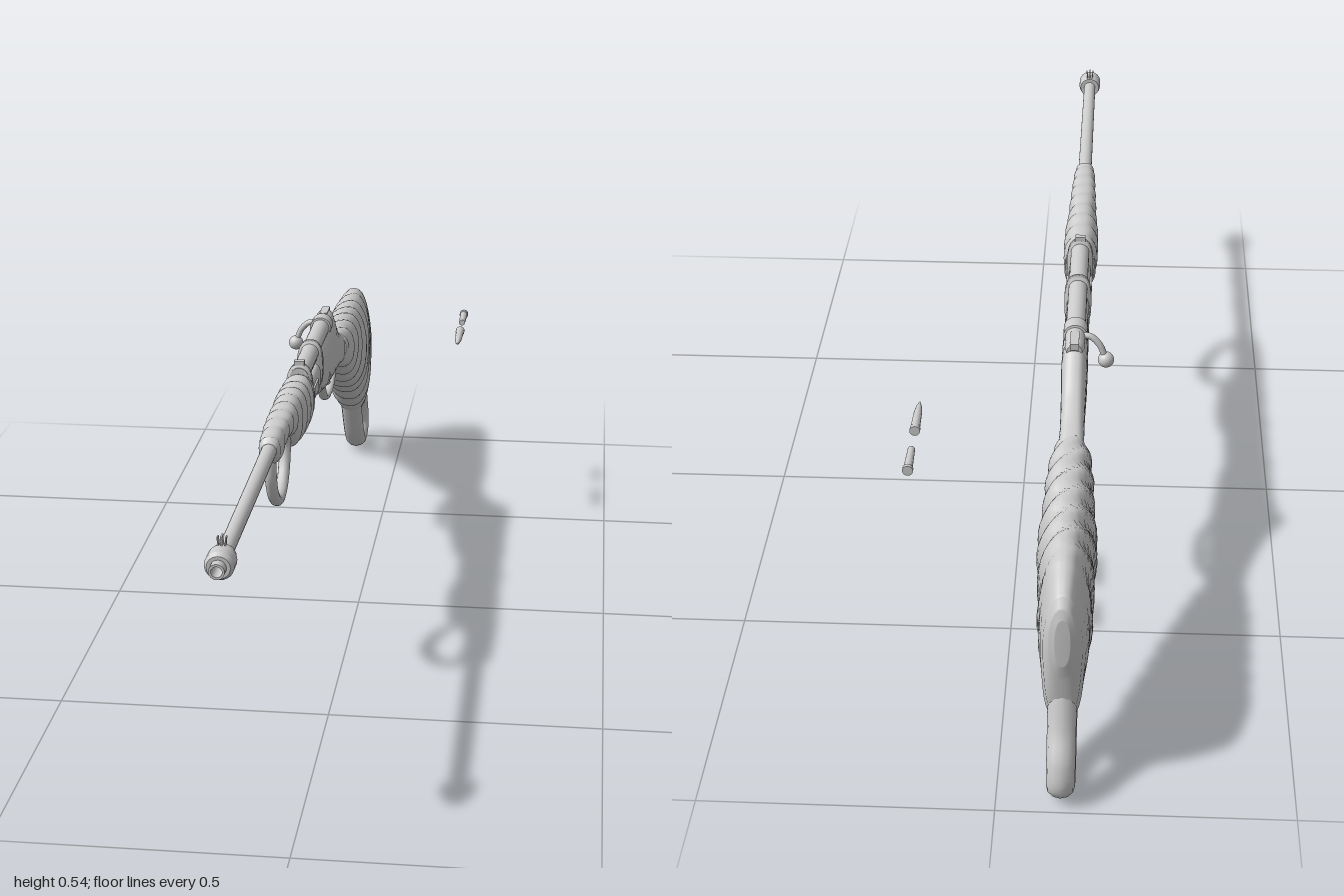
import * as THREE from 'three';

const material = new THREE.MeshStandardMaterial({ color: 0xcccccc, side: THREE.DoubleSide });
const V = (x, y, z) => new THREE.Vector3(x, y, z);

function add(group, name, geometry, x = 0, y = 0, z = 0) {
  const mesh = new THREE.Mesh(geometry, material);
  mesh.name = name;
  mesh.position.set(x, y, z);
  group.add(mesh);
  return mesh;
}

// Lathe along z; profile is [z, radius] from back to front
function turned(group, name, profile, x, y, sides = 24) {
  const pts = [];
  // doubled points keep the edges crisp
  profile.forEach(([z, r], i) => {
    pts.push(new THREE.Vector2(r, z));
    if (i > 0 && i < profile.length - 1) pts.push(new THREE.Vector2(r, z + 0.0002));
  });
  const g = new THREE.LatheGeometry(pts, sides);
  g.rotateX(Math.PI / 2);
  return add(group, name, g, x, y, 0);
}

function tube(group, name, points, radius, closed = false) {
  const curve = new THREE.CatmullRomCurve3(points.map(p => V(...p)), closed);
  return add(group, name, new THREE.TubeGeometry(curve, 48, radius, 12, closed));
}

// Loft of rounded sections [z, top, bottom, halfWidth], front to back.
// power < 1 squares the section; bulge(z, y, angle) scales it.
function loft(group, name, sections, power = 0.8, steps = 4, bulge = () => 1) {
  const rows = [], n = 32;
  sections.forEach((s, i) => {
    const next = sections[i + 1];
    if (!next) return rows.push(s);
    for (let k = 0; k < steps; k++) rows.push(s.map((v, c) => v + (next[c] - v) * k / steps));
  });
  // pinch both ends shut
  const pinch = r => { const m = (r[1] + r[2]) / 2; return [r[0], m, m, 0]; };
  rows.unshift(pinch(rows[0]));
  rows.push(pinch(rows[rows.length - 1]));
  const pos = [], idx = [];
  const soft = v => Math.sign(v) * Math.pow(Math.abs(v), power);
  rows.forEach(([z, top, bottom, hw], i) => {
    for (let j = 0; j < n; j++) {
      const a = j / n * Math.PI * 2, mid = (top + bottom) / 2;
      const dy = soft(Math.sin(a)) * (top - bottom) / 2;
      const k = bulge(z, mid + dy, a);
      // the bulge adds width fully and height by a fixed small amount
      pos.push(soft(Math.cos(a)) * hw * k, mid + dy + Math.sin(a) * (k - 1) * Math.min(hw, (top - bottom) / 2), z);
      if (i < rows.length - 1) {
        const b = i * n + j, c = i * n + (j + 1) % n;
        idx.push(b, b + n, c + n, b, c + n, c);
      }
    }
  });
  const g = new THREE.BufferGeometry();
  g.setAttribute('position', new THREE.Float32BufferAttribute(pos, 3));
  g.setIndex(idx);
  g.computeVertexNormals();
  return add(group, name, g);
}

export function createModel() {
  const model = new THREE.Group();
  model.name = 'wrappedRifle';
  const rifle = new THREE.Group();
  rifle.name = 'rifle';
  rifle.position.x = -0.108;
  model.add(rifle);

  // Barrel with muzzle collar and bore
  turned(rifle, 'barrel', [[-0.1, 0], [-0.1, 0.015], [0.95, 0.013], [1, 0.013], [1, 0.009], [0.96, 0.008], [0.96, 0]], 0, 0.5);
  turned(rifle, 'muzzleCollar', [[0.935, 0.012], [0.935, 0.021], [0.948, 0.024], [0.975, 0.024], [0.983, 0.019], [0.983, 0.012]], 0, 0.5);

  // Front sight blade between two small ears
  add(rifle, 'frontSight', new THREE.BoxGeometry(0.003, 0.022, 0.014), 0, 0.528, 0.945);
  for (const s of [-1, 1]) {
    add(rifle, 'frontSightEar', new THREE.BoxGeometry(0.002, 0.018, 0.01), s * 0.006, 0.528, 0.945).rotation.z = -s * 0.1;
  }

  // Cloth-wrapped fore stock
  loft(rifle, 'foreStockWrap', [
    [0.465, 0.513, 0.487, 0.013], [0.455, 0.523, 0.472, 0.02], [0.42, 0.525, 0.472, 0.021],
    [0.38, 0.526, 0.485, 0.022], [0.33, 0.526, 0.48, 0.024], [0.28, 0.526, 0.462, 0.026],
    [0.25, 0.525, 0.43, 0.028], [0.2, 0.525, 0.425, 0.031], [0.14, 0.52, 0.42, 0.032],
    [0.08, 0.518, 0.422, 0.03], [0.065, 0.515, 0.43, 0.026]
  ], 0.85, 8, (z, y) => 0.94 + 0.15 * Math.abs(Math.sin((z + 0.3 * y) * 68)));

  // Hand loop hanging under the nose of the fore stock
  tube(rifle, 'handLoop', [
    [0, 0.492, 0.44], [0, 0.45, 0.448], [0, 0.4, 0.42], [0, 0.369, 0.365], [0, 0.374, 0.32],
    [0, 0.405, 0.284], [0, 0.45, 0.27], [0, 0.485, 0.3], [0, 0.498, 0.37]
  ], 0.011, true);

  // Bare lower stock running back into the receiver and wrist
  loft(rifle, 'lowerStock', [
    [0.08, 0.488, 0.436, 0.022], [-0.08, 0.488, 0.432, 0.022],
    [-0.1, 0.494, 0.413, 0.023], [-0.25, 0.497, 0.382, 0.023]
  ], 0.65);
  loft(rifle, 'receiver', [
    [-0.085, 0.5, 0.416, 0.021], [-0.2, 0.506, 0.392, 0.023], [-0.27, 0.522, 0.38, 0.024],
    [-0.34, 0.516, 0.372, 0.024], [-0.37, 0.492, 0.37, 0.023], [-0.41, 0.462, 0.367, 0.022],
    [-0.46, 0.438, 0.362, 0.022], [-0.52, 0.42, 0.35, 0.024]
  ], 0.65);

  // Upper barrel cover, bolt and binding bands
  turned(rifle, 'barrelCover', [[-0.1, 0], [-0.1, 0.018], [0.075, 0.018], [0.075, 0]], 0, 0.51);
  turned(rifle, 'bolt', [[-0.345, 0], [-0.345, 0.014], [-0.33, 0.018], [-0.1, 0.018], [-0.1, 0]], 0, 0.51);
  turned(rifle, 'boltRearRing', [[-0.29, 0], [-0.285, 0.022], [-0.252, 0.022], [-0.25, 0]], 0, 0.51);
  for (const z of [0.065, -0.09]) {
    loft(rifle, 'bindingBand', [[z + 0.008, 0.533, 0.428, 0.026], [z - 0.008, 0.533, 0.425, 0.026]], 0.75, 1);
  }
  add(rifle, 'lowerClip', new THREE.BoxGeometry(0.05, 0.022, 0.06), 0, 0.462, 0);
  add(rifle, 'rearSight', new THREE.BoxGeometry(0.02, 0.014, 0.012), 0, 0.534, 0.066);
  add(rifle, 'cockingPiece', new THREE.BoxGeometry(0.016, 0.012, 0.05), 0, 0.522, -0.325);

  // Bolt handle on the right side
  tube(rifle, 'boltHandle', [[-0.01, 0.512, -0.285], [-0.028, 0.511, -0.287], [-0.045, 0.495, -0.289], [-0.056, 0.468, -0.29]], 0.006);
  add(rifle, 'boltKnob', new THREE.SphereGeometry(0.015, 20, 14), -0.057, 0.465, -0.29);

  // Trigger and its guard
  tube(rifle, 'triggerGuard', [
    [0, 0.392, -0.23], [0, 0.372, -0.265], [0, 0.343, -0.3], [0, 0.331, -0.355],
    [0, 0.336, -0.405], [0, 0.355, -0.44], [0, 0.372, -0.465]
  ], 0.007).scale.x = 1.35;
  tube(rifle, 'trigger', [[0, 0.38, -0.35], [0, 0.364, -0.357], [0, 0.35, -0.375]], 0.005);

  // Cloth-wrapped butt stock with slanting folds that fade to the rear
  loft(rifle, 'buttStockWrap', [
    [-0.485, 0.422, 0.362, 0.024], [-0.5, 0.426, 0.347, 0.032], [-0.56, 0.426, 0.297, 0.038],
    [-0.62, 0.425, 0.262, 0.043], [-0.69, 0.424, 0.216, 0.047], [-0.76, 0.423, 0.165, 0.046],
    [-0.82, 0.422, 0.125, 0.044], [-0.87, 0.42, 0.115, 0.041], [-0.91, 0.408, 0.12, 0.037],
    [-0.935, 0.398, 0.15, 0.032], [-0.948, 0.38, 0.24, 0.023], [-0.954, 0.36, 0.27, 0.012]
  ], 0.85, 9, (z, y, a) => {
    const fade = THREE.MathUtils.smoothstep(z, -0.9, -0.76);
    const fold = Math.abs(Math.sin((z + (0.45 + 0.1 * Math.cos(a)) * y) * 54));
    return 1 + fade * (0.2 * fold - 0.1) + 0.03 * Math.sin(y * 40 + z * 25);
  });

  // Open toe at the bottom of the butt
  tube(rifle, 'buttToe', [
    [0, 0.17, -0.8], [0, 0.115, -0.835], [0, 0.063, -0.873], [0, 0.03, -0.91], [0, 0.024, -0.945],
    [0, 0.04, -0.975], [0, 0.08, -0.972], [0, 0.13, -0.945], [0, 0.2, -0.918]
  ], 0.021).scale.x = 1.15;

  // Loose cartridge case and bullet lying beside the rifle
  turned(model, 'cartridgeCase', [[-0.64, 0], [-0.64, 0.0095], [-0.632, 0.0095], [-0.63, 0.008], [-0.57, 0.0065], [-0.57, 0]], 0.168, 0.435, 16);
  turned(model, 'bullet', [[-0.51, 0], [-0.51, 0.0095], [-0.5, 0.0095], [-0.498, 0.0085], [-0.45, 0.0075], [-0.425, 0.005], [-0.405, 0]], 0.168, 0.435, 16);

  return model;
}
